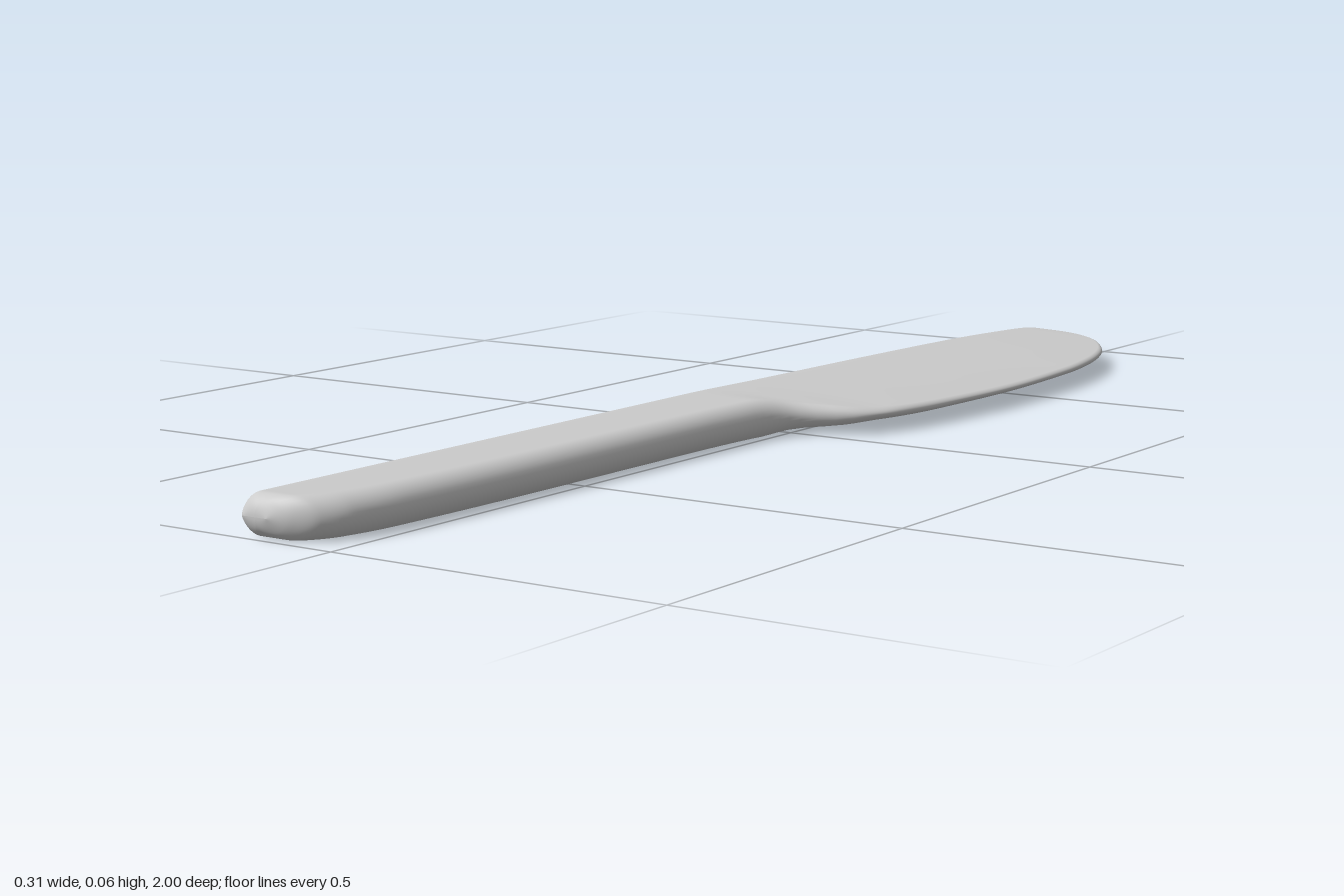
import * as THREE from 'three';

// Smooth monotone interpolation through [z, value] pairs sorted by z
function curveAt(pts, z) {
  const n = pts.length;
  const slope = (i) => (pts[i + 1][1] - pts[i][1]) / (pts[i + 1][0] - pts[i][0]);
  const tangent = (i) => {
    if (i === 0) return slope(0);
    if (i === n - 1) return slope(n - 2);
    const a = slope(i - 1), b = slope(i);
    return a * b <= 0 ? 0 : (2 * a * b) / (a + b);
  };
  let i = 0;
  while (i < n - 2 && z > pts[i + 1][0]) i++;
  const w = pts[i + 1][0] - pts[i][0];
  const t = THREE.MathUtils.clamp((z - pts[i][0]) / w, 0, 1);
  const t2 = t * t, t3 = t2 * t;
  return (2 * t3 - 3 * t2 + 1) * pts[i][1] + (t3 - 2 * t2 + t) * w * tangent(i)
    + (3 * t2 - 2 * t3) * pts[i + 1][1] + (t3 - t2) * w * tangent(i + 1);
}

// Cutting-edge side of the outline, blade tip to handle end
const EDGE = [
  [-1, -0.125], [-0.98, -0.07], [-0.95, -0.015], [-0.9, 0.04], [-0.8, 0.098], [-0.7, 0.128],
  [-0.6, 0.144], [-0.4, 0.155], [-0.2, 0.143], [-0.1, 0.125], [-0.04, 0.1], [-0.015, 0.07],
  [0.005, 0.04], [0.03, 0.02], [0.08, 0.006], [0.2, 0.001], [0.6, -0.002], [0.85, -0.01],
  [0.93, -0.023], [0.97, -0.045], [0.99, -0.075], [1, -0.105],
];
// Half thickness along the spine
const SPINE = [
  [-1, 0.004], [-0.97, 0.008], [-0.9, 0.012], [-0.7, 0.019], [-0.4, 0.0235], [-0.1, 0.0265], [0.05, 0.0285], [1, 0.0285],
];
// How far the section thins towards the cutting edge (0 = handle, 1 = knife edge)
const TAPER = [[-1, 0.3], [-0.8, 0.65], [-0.4, 0.77], [-0.08, 0.7], [0, 0.4], [0.07, 0], [1, 0]];
// Rounding radius on the cutting-edge side
const ROUND = [[-1, 0.008], [-0.15, 0.01], [0.06, 0.03], [1, 0.032]];

const MID_Y = 0.0285;

// Quarter-circle falloff over the last `size` units before each end
const endRound = (dist, size) => {
  const k = 1 - Math.min(1, dist / size);
  return Math.sqrt(Math.max(0, 1 - k * k));
};

// Upper half of a cross-section: [x, half thickness] from spine to edge
function halfSection(z) {
  const left = -0.155 + 0.013 * (1 - endRound(1 - Math.abs(z), 0.025));
  const right = curveAt(EDGE, z), width = right - left;
  const rl = Math.min(0.022, width / 2), rr = Math.min(curveAt(ROUND, z), width / 2);
  const height = curveAt(SPINE, z) * endRound(1 - z, 0.025) * endRound(1 + z, 0.012);
  const taper = curveAt(TAPER, z);
  const out = [];
  const add = (x, f) => {
    const u = (x - left) / width;
    out.push([x, height * f * (1 - taper * Math.pow(u, 1.5))]);
  };
  const A = 8, M = 12;
  for (let k = 0; k <= A; k++) {
    const a = (k / A) * Math.PI / 2;
    add(left + rl * (1 - Math.cos(a)), Math.sin(a));
  }
  for (let k = 1; k < M; k++) add(THREE.MathUtils.lerp(left + rl, right - rr, k / M), 1);
  for (let k = A; k >= 0; k--) {
    const a = (k / A) * Math.PI / 2;
    add(right - rr * (1 - Math.cos(a)), Math.sin(a));
  }
  return out;
}

// Loft the closed sections from handle end to blade tip
function knifeGeometry(steps = 200) {
  const pos = [], idx = [];
  let ring = 0;
  for (let i = 0; i <= steps; i++) {
    const z = Math.cos((i / steps) * Math.PI);
    const half = halfSection(z);
    const lower = half.slice(1, -1).reverse();
    half.forEach(([x, h]) => pos.push(x, MID_Y + h, z));
    lower.forEach(([x, h]) => pos.push(x, MID_Y - h, z));
    ring = half.length + lower.length;
  }
  for (let i = 0; i < steps; i++) {
    for (let j = 0; j < ring; j++) {
      const a = i * ring + j, b = i * ring + (j + 1) % ring;
      idx.push(a, b, a + ring, b, b + ring, a + ring);
    }
  }
  const g = new THREE.BufferGeometry();
  g.setAttribute('position', new THREE.Float32BufferAttribute(pos, 3));
  g.setIndex(idx);
  g.computeVertexNormals();
  return g;
}

export function createModel() {
  const group = new THREE.Group();
  group.name = 'knife';
  // Handle and blade are one continuous moulded body
  const body = new THREE.Mesh(knifeGeometry(), new THREE.MeshStandardMaterial({ color: 0xcccccc }));
  body.name = 'handleAndBlade';
  group.add(body);
  return group;
}
